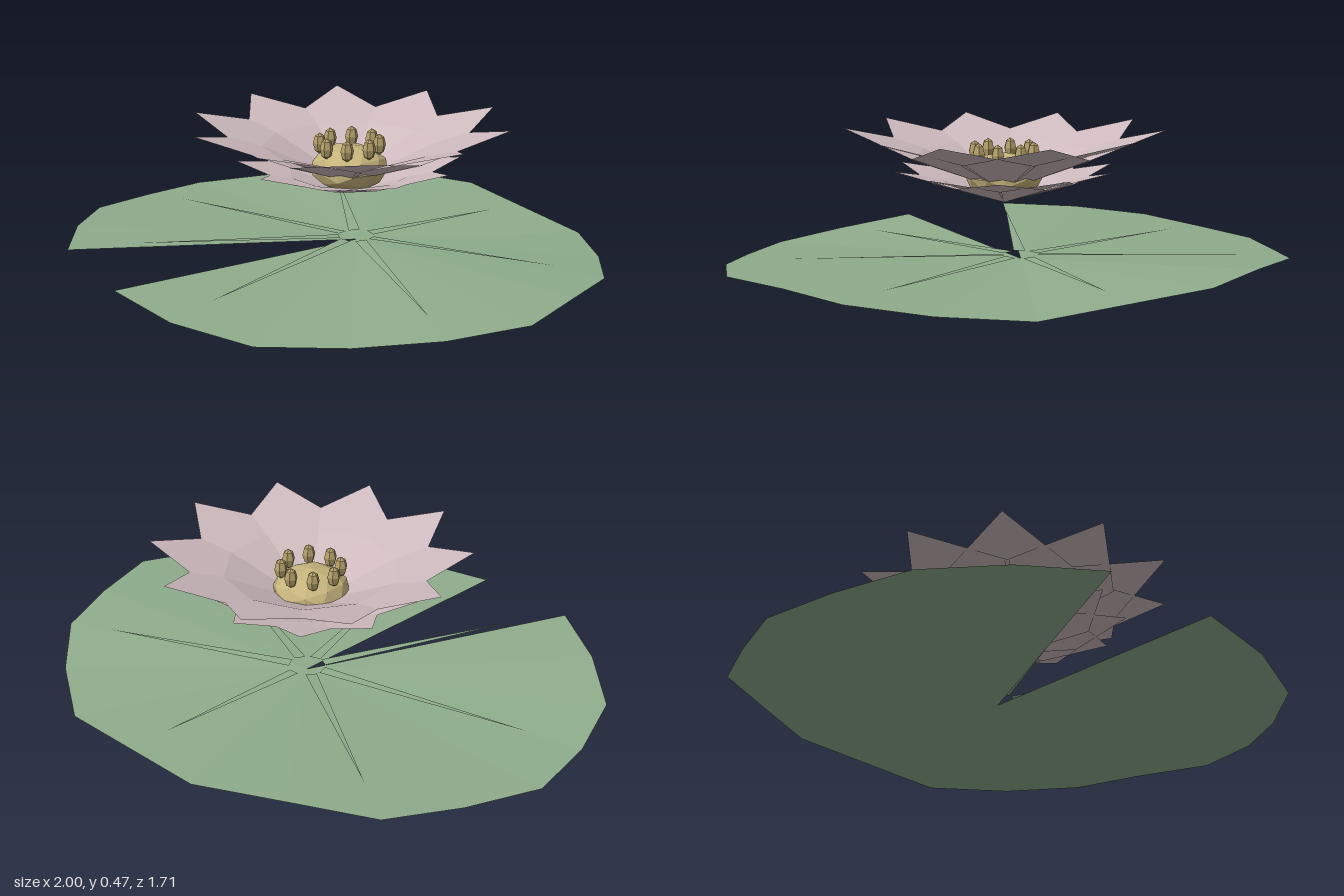
import * as THREE from 'three';

const material = (name, color, double) => {
  const m = new THREE.MeshStandardMaterial({ color, flatShading: true });
  m.name = name;
  if (double) m.side = THREE.DoubleSide;
  return m;
};

// Sheet geometry from a list of triangles, each three [x, y, z] corners
function sheet(triangles) {
  const g = new THREE.BufferGeometry();
  g.setAttribute('position', new THREE.Float32BufferAttribute(triangles.flat(2), 3));
  g.computeVertexNormals();
  return g;
}

function part(name, geometry, mat, parent) {
  const mesh = new THREE.Mesh(geometry, mat);
  mesh.name = name;
  parent.add(mesh);
  return mesh;
}

export function createModel() {
  const model = new THREE.Group();
  model.name = 'waterLily';
  const leafGreen = material('leafGreen', 0x8fad8c, true);
  const petalPink = material('petalPink', 0xcfbbbf, true);
  const gold = material('gold', 0xc6b47c);
  const darkGold = material('darkGold', 0xb3a069);

  // Leaf: a fan around the notch, its rim waving three times
  const hubZ = -0.09;
  const leafPoint = (x, z, lift = 0) => {
    const dz = z - hubZ, r = Math.hypot(x, dz);
    const wave = 0.025 * Math.min(1, r / 0.9) * Math.cos(3 * Math.atan2(dz, x));
    return [x, 0.026 + wave + lift, z];
  };
  const rim = [
    [-0.49, 0.78], [-0.72, 0.6], [-0.91, 0.39], [-0.98, 0.13], [-1, -0.13],
    [-0.885, -0.38], [-0.75, -0.615], [-0.49, -0.745], [-0.2, -0.86], [0.41, -0.795],
    [0.655, -0.62], [0.85, -0.42], [0.93, -0.18], [1, 0.085], [0.895, 0.34],
    [0.72, 0.555], [0.505, 0.75], [0.206, 0.84], [-0.093, 0.85],
  ].map(([x, z]) => leafPoint(x, z));
  const hub = leafPoint(0, hubZ);
  part('leaf', sheet(rim.slice(1).map((p, i) => [hub, p, rim[i]])), leafGreen, model);

  // Veins: thin wedges just above the leaf
  const veinTips = [
    [-0.805, 0.085], [-0.6, -0.51], [0.08, -0.69], [0.695, -0.37],
    [0.735, 0.26], [0.17, 0.66], [-0.38, 0.59],
  ];
  part('veins', sheet(veinTips.map(([x, z]) => {
    const r = Math.hypot(x, z - hubZ), ux = x / r, uz = (z - hubZ) / r;
    const root = (s) => leafPoint(ux * 0.06 - uz * s, hubZ + uz * 0.06 + ux * s, 0.014);
    return [root(0.02), leafPoint(x, z, 0.014), root(-0.02)];
  })), leafGreen, model);

  // Flower: two tiers of ten kite-shaped petals, folded across the widest line
  const flower = new THREE.Group();
  flower.name = 'flower';
  flower.position.set(0.03, 0, -0.033);
  model.add(flower);

  function petalTier(name, { base, wideAt, half, wideY, tipAt, tipY, turn }) {
    const tier = new THREE.Group();
    tier.name = name;
    flower.add(tier);
    const root = [0, base, 0], left = [wideAt, wideY, -half];
    const right = [wideAt, wideY, half], tip = [tipAt, tipY, 0];
    const geometry = sheet([[root, right, left], [left, right, tip]]);
    for (let i = 0; i < 10; i++) {
      part('petal', geometry, petalPink, tier).rotation.y = turn + (i * Math.PI) / 5;
    }
  }
  petalTier('upperPetals', {
    base: 0.255, wideAt: 0.285, half: 0.218, wideY: 0.388, tipAt: 0.55, tipY: 0.467, turn: 0,
  });
  petalTier('lowerPetals', {
    base: 0.215, wideAt: 0.2, half: 0.152, wideY: 0.29, tipAt: 0.384, tipY: 0.335, turn: Math.PI / 10,
  });

  // Faceted centre with a ring of stamens
  const centre = part('flowerCentre', new THREE.IcosahedronGeometry(1, 1), gold, flower);
  centre.scale.set(0.134, 0.08, 0.134);
  centre.position.y = 0.307;

  const stamenGeometry = new THREE.SphereGeometry(0.023, 6, 4).scale(1, 1.6, 1);
  for (let i = 0; i < 8; i++) {
    const a = (i * Math.PI) / 4;
    part('stamen', stamenGeometry, darkGold, flower)
      .position.set(0.102 * Math.cos(a), 0.389, 0.102 * Math.sin(a));
  }
  return model;
}
